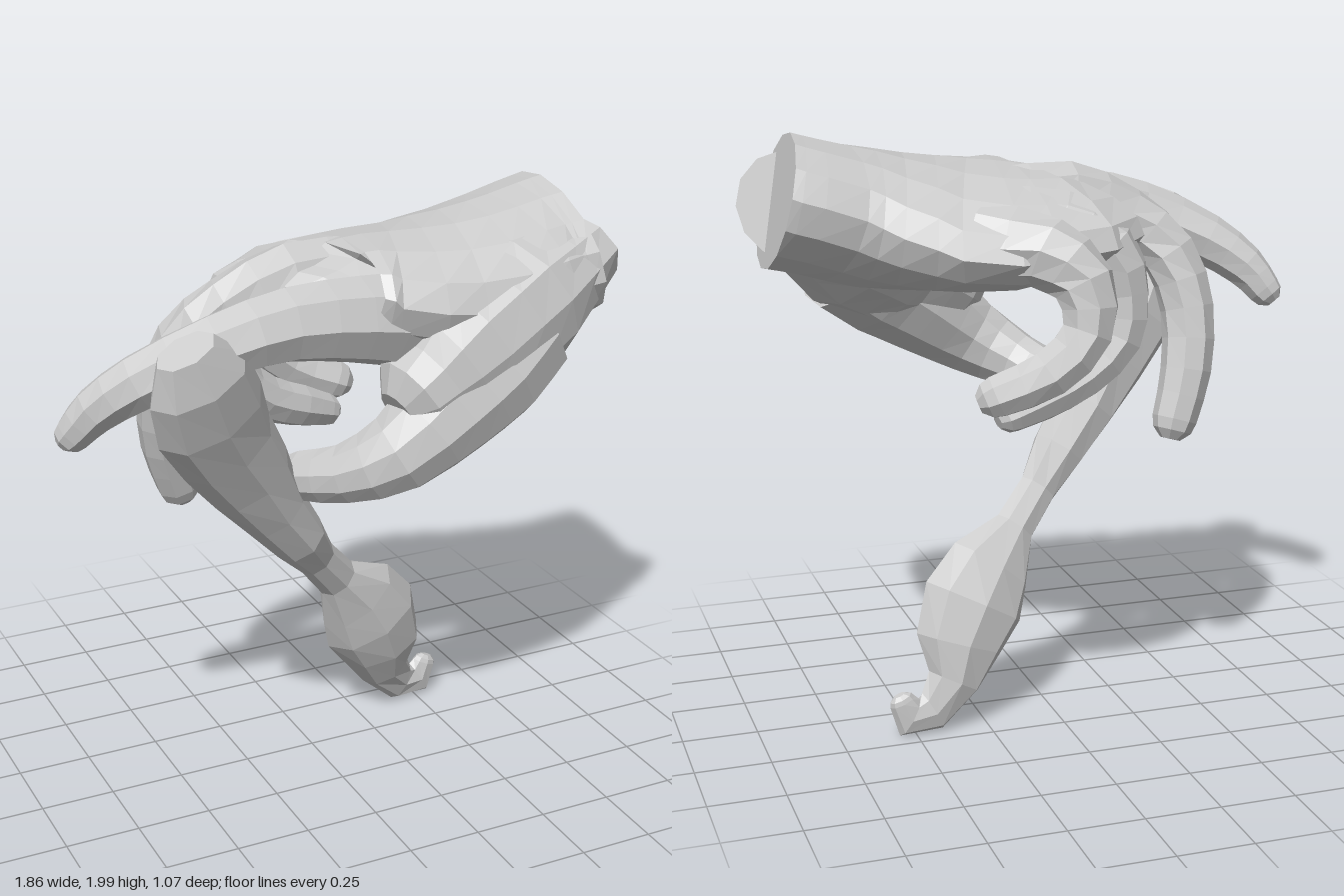
import * as THREE from 'three';

const material = new THREE.MeshStandardMaterial({ color: 0xcccccc, flatShading: true, side: THREE.DoubleSide });

// Lofts ellipses along a path and rounds off the far end.
// Each station is [x, y, z, halfSide, halfUp, roll]; "side" is the direction of the first radius.
function loft(name, stations, { sides = 8, steps = 2, side = [0, 0, 1] } = {}) {
  const curve = new THREE.CatmullRomCurve3(stations.map(s => new THREE.Vector3(s[0], s[1], s[2])));
  const ref = new THREE.Vector3(...side);
  const last = stations.length - 1;
  const rings = [];
  for (let i = 0; i <= last * steps; i++) {
    const t = i / (last * steps);
    const k = Math.min(Math.floor(i / steps), last - 1);
    const f = i / steps - k;
    const mix = n => THREE.MathUtils.lerp(stations[k][n] ?? 0, stations[k + 1][n] ?? 0, f);
    rings.push({ p: curve.getPoint(t), d: curve.getTangent(t), a: mix(3), b: mix(4), roll: mix(5) });
  }
  const e = rings[rings.length - 1];
  const r = Math.min(e.a, e.b);
  for (const [shift, scale] of [[0.5, 0.86], [0.9, 0.45]]) {
    rings.push({ ...e, p: e.p.clone().addScaledVector(e.d, r * shift), a: e.a * scale, b: e.b * scale });
  }

  const pos = [], index = [];
  for (const { p, d, a, b, roll } of rings) {
    const s = ref.clone().addScaledVector(d, -ref.dot(d)).normalize().applyAxisAngle(d, roll);
    const u = d.clone().cross(s);
    for (let j = 0; j < sides; j++) {
      const w = (j / sides) * Math.PI * 2;
      const v = p.clone().addScaledVector(s, Math.cos(w) * a).addScaledVector(u, Math.sin(w) * b);
      pos.push(v.x, v.y, v.z);
    }
  }
  const at = (i, j) => i * sides + (j % sides);
  const end = rings.length - 1;
  const c0 = pos.length / 3, c1 = c0 + 1;
  pos.push(...rings[0].p.toArray(), ...rings[end].p.toArray());
  for (let j = 0; j < sides; j++) {
    for (let i = 0; i < end; i++) {
      index.push(at(i, j), at(i, j + 1), at(i + 1, j), at(i, j + 1), at(i + 1, j + 1), at(i + 1, j));
    }
    index.push(c0, at(0, j + 1), at(0, j), c1, at(end, j), at(end, j + 1));
  }
  const geometry = new THREE.BufferGeometry();
  geometry.setAttribute('position', new THREE.Float32BufferAttribute(pos, 3));
  geometry.setIndex(index);
  geometry.computeVertexNormals();
  const mesh = new THREE.Mesh(geometry, material);
  mesh.name = name;
  return mesh;
}

// Round finger from [x, y, z, radius] stations
const finger = (name, stations, options) => loft(name, stations.map(s => [...s, s[3]]), options);

export function createModel() {
  const model = new THREE.Group();
  const hand = new THREE.Group();
  hand.name = 'hand';
  model.add(hand);

  // Palm with the flat, slanted cut at the wrist, rolling over towards the knuckles
  hand.add(loft('palm', [
    [0.86, 1.775, 0.09, 0.33, 0.222, -0.15],
    [0.78, 1.757, 0.085, 0.335, 0.22, -0.12],
    [0.58, 1.71, 0.1, 0.37, 0.225, -0.04],
    [0.35, 1.685, 0.06, 0.41, 0.21, 0.06],
    [0.14, 1.69, 0, 0.435, 0.18, 0.16],
    [-0.01, 1.705, 0, 0.4, 0.15, 0.18],
    [-0.1, 1.71, 0.06, 0.29, 0.1, 0.16],
  ], { sides: 14 }));

  // Thumb and the heavy muscle joining its base to the palm
  hand.add(loft('thumbBase', [
    [0.82, 1.76, 0.11, 0.28, 0.17],
    [0.6, 1.65, 0.22, 0.27, 0.26],
    [0.4, 1.54, 0.31, 0.215, 0.26],
    [0.26, 1.45, 0.335, 0.165, 0.18],
  ], { sides: 12 }));
  hand.add(finger('thumb', [
    [0.6, 1.56, 0.28, 0.2],
    [0.46, 1.46, 0.33, 0.2],
    [0.32, 1.36, 0.35, 0.175],
    [0.14, 1.23, 0.35, 0.135],
    [0, 1.15, 0.26, 0.1],
    [-0.09, 1.11, 0.13, 0.085],
  ], { sides: 10 }));

  // Four fingers, each starting inside the palm
  hand.add(finger('indexFinger', [
    [0.24, 1.63, 0.24, 0.16],
    [0.02, 1.67, 0.27, 0.14],
    [-0.22, 1.69, 0.285, 0.12],
    [-0.45, 1.65, 0.28, 0.105],
    [-0.68, 1.55, 0.21, 0.09],
    [-0.8, 1.46, 0.15, 0.075],
    [-0.86, 1.38, 0.11, 0.06],
  ]));
  hand.add(finger('middleFinger', [
    [0.16, 1.73, 0.02, 0.13],
    [-0.1, 1.745, 0.03, 0.125],
    [-0.3, 1.68, 0.01, 0.1],
    [-0.43, 1.56, -0.05, 0.095],
    [-0.48, 1.38, -0.1, 0.09],
    [-0.46, 1.18, -0.15, 0.085],
    [-0.41, 1.02, -0.18, 0.075],
  ], { side: [0.3, 0, 1] }));
  hand.add(finger('ringFinger', [
    [0.2, 1.69, -0.15, 0.14],
    [0, 1.68, -0.2, 0.13],
    [-0.13, 1.62, -0.26, 0.11],
    [-0.18, 1.48, -0.28, 0.09],
    [-0.16, 1.34, -0.29, 0.085],
    [-0.04, 1.23, -0.3, 0.08],
    [0.1, 1.17, -0.32, 0.075],
    [0.21, 1.13, -0.34, 0.06],
  ]));
  hand.add(finger('littleFinger', [
    [0.28, 1.67, -0.23, 0.13],
    [0.1, 1.64, -0.35, 0.115],
    [0, 1.55, -0.42, 0.1],
    [0, 1.4, -0.45, 0.085],
    [0.12, 1.28, -0.45, 0.08],
    [0.28, 1.21, -0.41, 0.07],
  ]));

  // Knobbly piece pinched between thumb and index finger, ending in a hook
  model.add(loft('heldPiece', [
    [-0.59, 1.69, 0.38, 0.07, 0.1],
    [-0.54, 1.58, 0.35, 0.11, 0.17],
    [-0.48, 1.44, 0.29, 0.12, 0.19],
    [-0.4, 1.3, 0.23, 0.115, 0.17],
    [-0.3, 1.16, 0.18, 0.105, 0.15],
    [-0.2, 1.01, 0.13, 0.1, 0.115],
    [-0.09, 0.87, 0.09, 0.09, 0.095],
    [0, 0.755, 0.04, 0.055, 0.07],
    [0.1, 0.64, -0.01, 0.06, 0.075],
    [0.2, 0.53, -0.06, 0.1, 0.155],
    [0.27, 0.42, -0.09, 0.12, 0.185],
    [0.33, 0.29, -0.12, 0.11, 0.155],
    [0.36, 0.17, -0.15, 0.08, 0.095],
    [0.44, 0.08, -0.17, 0.045, 0.075],
    [0.52, 0.07, -0.18, 0.035, 0.07],
    [0.545, 0.13, -0.18, 0.03, 0.045],
  ], { steps: 1 }));

  return model;
}
